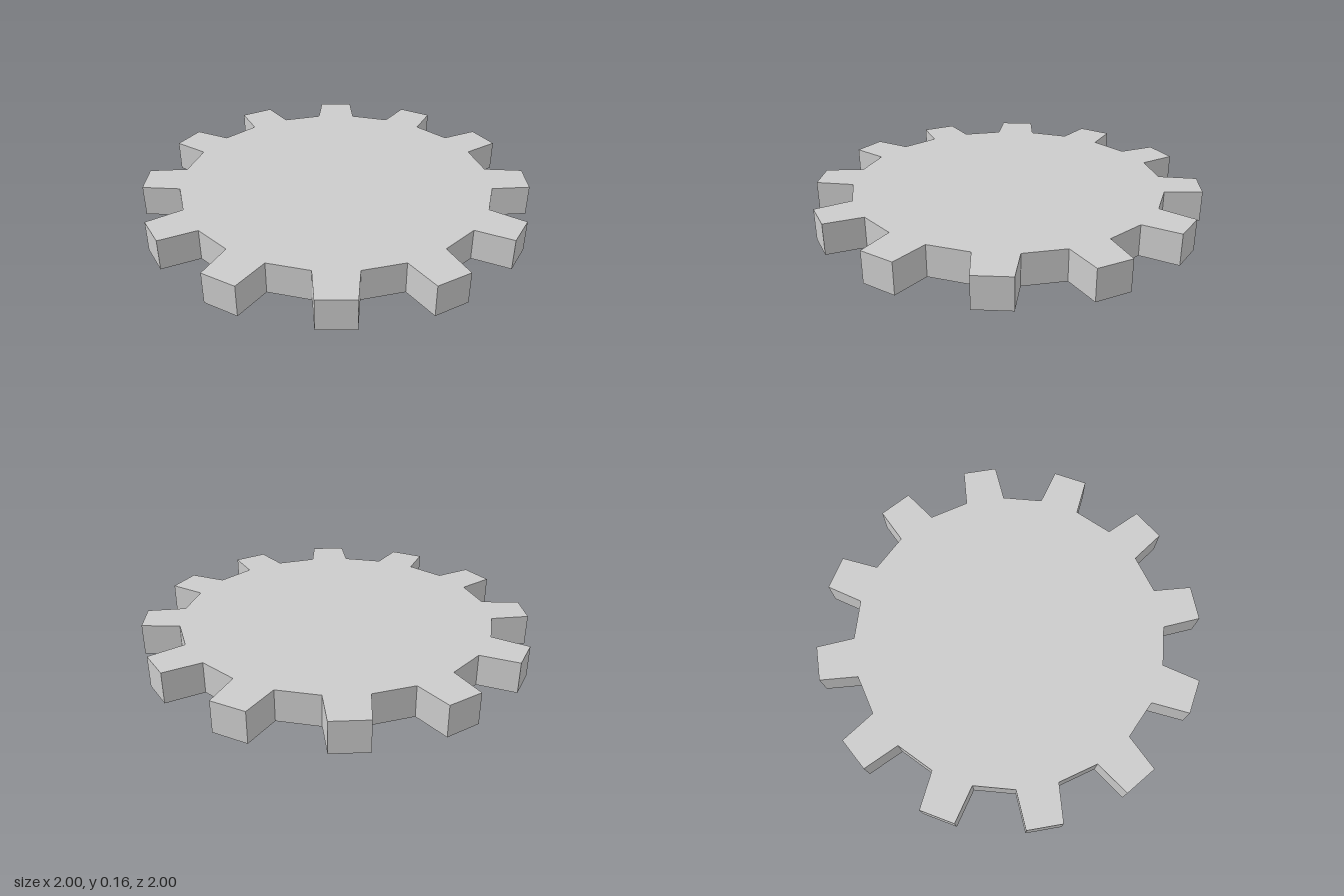
import * as THREE from 'three';

const TEETH = 12;
const ROOT_RADIUS = 0.808;
const TIP_RADIUS = 1.0008;
const THICKNESS = 0.16;
const TIP_INSET = 2.3; // degrees each tooth narrows on either side

const polar = (radius, degrees) => {
  const a = THREE.MathUtils.degToRad(degrees);
  return new THREE.Vector2(radius * Math.cos(a), radius * Math.sin(a));
};

export function createModel() {
  const group = new THREE.Group();
  group.name = 'gear';

  // Gear outline: each pitch is half tapered tooth, half straight gap
  const outline = [];
  const pitch = 360 / TEETH;
  for (let i = 0; i < TEETH; i++) {
    const start = i * pitch;
    const end = start + pitch / 2;
    outline.push(
      polar(ROOT_RADIUS, start),
      polar(TIP_RADIUS, start + TIP_INSET),
      polar(TIP_RADIUS, end - TIP_INSET),
      polar(ROOT_RADIUS, end),
    );
  }

  // Flat toothed plate, laid down on the ground plane
  const geometry = new THREE.ExtrudeGeometry(new THREE.Shape(outline), {
    depth: THICKNESS,
    bevelEnabled: false,
  });
  geometry.rotateX(-Math.PI / 2);

  const material = new THREE.MeshStandardMaterial({ color: 0xcccccc, flatShading: true });
  const plate = new THREE.Mesh(geometry, material);
  plate.name = 'toothedPlate';
  group.add(plate);
  return group;
}
